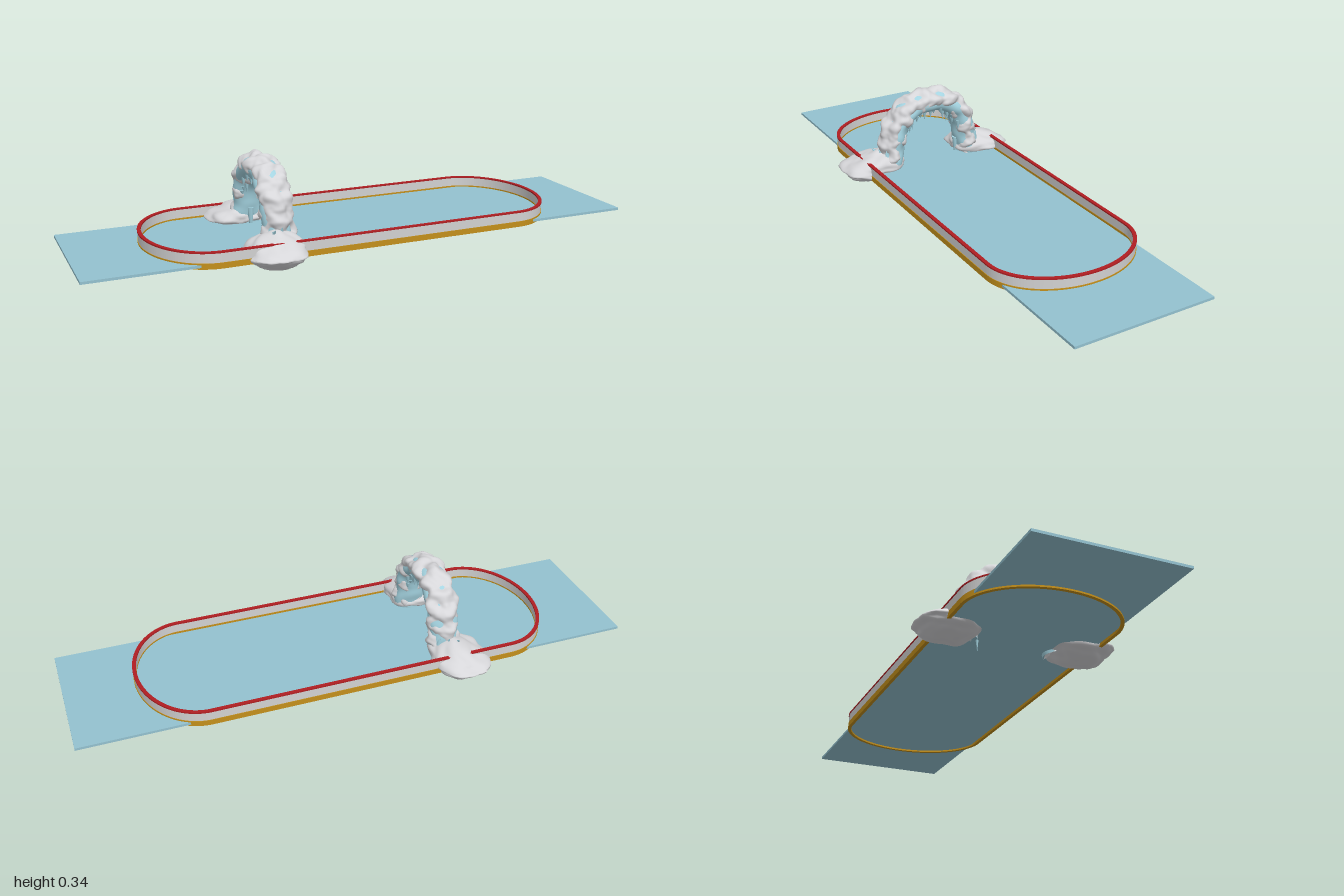
import * as THREE from 'three';
import { mergeVertices } from 'three/addons/utils/BufferGeometryUtils.js';

const mat = (name, color, side = THREE.FrontSide) => {
  const m = new THREE.MeshStandardMaterial({ color, side });
  m.name = name;
  return m;
};

// smooth repeatable lumps, roughly -1..1
const lumps = (x, y, z, f) =>
  (Math.sin(f * x + 1.7 * Math.sin(f * 0.6 * z + 1)) +
   Math.sin(f * 1.1 * y + 1.5 * Math.sin(f * 0.7 * x + 2)) +
   Math.sin(f * 0.9 * z + 1.6 * Math.sin(f * 0.8 * y))) / 3;

// rounded rink outline: straight sides with elliptical ends
function outline(P, inset) {
  const rx = 0.208 - inset, rz = 0.272 - inset;
  const p = new P();
  p.moveTo(-0.55, -rz);
  p.lineTo(0.55, -rz);
  p.absellipse(0.55, 0, rx, rz, -Math.PI / 2, Math.PI / 2, false, 0);
  p.lineTo(-0.55, rz);
  p.absellipse(-0.55, 0, rx, rz, Math.PI / 2, Math.PI * 1.5, false, 0);
  return p;
}

function band(inset, thick, y0, y1) {
  const s = outline(THREE.Shape, inset);
  s.holes.push(outline(THREE.Path, inset + thick));
  const g = new THREE.ExtrudeGeometry(s, { depth: y1 - y0, bevelEnabled: false, curveSegments: 40 });
  g.rotateX(-Math.PI / 2);
  g.translate(0, y0, 0);
  return g;
}

// centre line of the arch
const ARCH_X = -0.33;
const half = [[0.165, 0.04], [0.157, 0.1], [0.149, 0.16], [0.131, 0.212], [0.095, 0.255], [0.05, 0.281]];
const path = new THREE.CatmullRomCurve3([
  ...half.map(([z, y]) => new THREE.Vector3(ARCH_X, y, z)),
  new THREE.Vector3(ARCH_X, 0.288, 0),
  ...half.slice().reverse().map(([z, y]) => new THREE.Vector3(ARCH_X, y, -z)),
]);
const archPoint = (t, a, k) => {
  const c = path.getPointAt(t), d = path.getTangentAt(t);
  const n = new THREE.Vector3(0, -d.z, d.y);
  c.addScaledVector(n, Math.cos(a) * 0.043 * k);
  c.x += Math.sin(a) * 0.057 * k;
  return c;
};

// closed cross-sections swept along the arch, thickness set by a rule
function sweep(rows, cols, thickness) {
  const pos = [], idx = [];
  for (let i = 0; i <= rows; i++) {
    for (let j = 0; j < cols; j++) {
      const t = i / rows, a = (j / cols) * Math.PI * 2;
      const p = archPoint(t, a, 1);
      pos.push(...archPoint(t, a, thickness(p, a)).toArray());
      if (i === rows) continue;
      const A = i * cols + j, B = i * cols + (j + 1) % cols;
      idx.push(A, B, A + cols, B, B + cols, A + cols);
    }
  }
  const g = new THREE.BufferGeometry();
  g.setAttribute('position', new THREE.Float32BufferAttribute(pos, 3));
  g.setIndex(idx);
  g.computeVertexNormals();
  return g;
}

// lens-shaped snow heap, its top leaning towards the arch
function moundGeometry(side) {
  let g = new THREE.SphereGeometry(1, 48, 32);
  g.deleteAttribute('uv');
  g.deleteAttribute('normal');
  g = mergeVertices(g, 1e-4);
  const p = g.attributes.position;
  for (let i = 0; i < p.count; i++) {
    const x = p.getX(i), y = p.getY(i), z = p.getZ(i) * side;
    const n = 1 + 0.1 * lumps(x, y + side, z, 5) + 0.05 * lumps(x, y, z, 11);
    const box = 1 + 0.35 * x * x * z * z;
    const h = Math.sign(y) * Math.pow(Math.abs(y), 1.25);
    p.setXYZ(i,
      -0.363 + x * 0.1 * n * box + Math.max(y, 0) * 0.02,
      0.057 + h * (y > 0 ? 0.06 : 0.047) * n,
      side * (0.236 + z * 0.112 * n * box - Math.max(y, 0) * 0.045));
  }
  // mirrored along z by the side factor above, so winding stays outward
  g.computeVertexNormals();
  return g;
}

export function createModel() {
  const root = new THREE.Group();
  root.name = 'iceRinkWithArch';
  const ice = mat('rink ice', 0x94c2d0);
  const blueIce = mat('arch ice', 0xa4d3e0);
  const snow = mat('snow', 0xd6d6d9);
  const wall = mat('board grey', 0xd2d2d2);
  const red = mat('rail red', 0xb01e22);
  const gold = mat('kick plate gold', 0xc4901c);
  const add = (name, geo, material, parent = root) => {
    const m = new THREE.Mesh(geo, material);
    m.name = name;
    parent.add(m);
    return m;
  };

  // ice sheet and the boards around it
  add('iceSheet', new THREE.BoxGeometry(2, 0.009, 0.512).translate(0, 0.0505, 0), ice);
  add('kickPlate', band(0, 0.012, 0.04, 0.06), gold);
  add('boards', band(0.002, 0.009, 0.06, 0.092), wall);
  add('topRail', band(0, 0.013, 0.092, 0.097), red);

  // arch: blue ice core, with snow breaking through wherever its layer is thick
  const arch = new THREE.Group();
  arch.name = 'arch';
  root.add(arch);
  add('archIce', sweep(90, 32, (p) => 0.95 + 0.09 * lumps(p.x, p.y, p.z, 70)), blueIce, arch);
  add('archSnow', sweep(170, 56, (p, a) =>
    0.95 + 0.17 * Math.cos(a) + 0.26 * lumps(p.x, p.y, p.z, 85) + 0.06 * lumps(p.x, p.y, p.z, 190)), snow, arch);

  // icicles along both lower edges of the arch
  for (let i = 0; i < 30; i++) {
    const t = 0.22 + 0.56 * (i / 29);
    const p = archPoint(t, Math.PI + (i % 2 ? 0.55 : -0.55) * (1 + 0.4 * Math.sin(i * 5)), 0.9);
    const len = 0.03 + 0.014 * Math.sin(i * 2.3);
    const g = new THREE.ConeGeometry(0.009, len, 7).rotateX(Math.PI);
    add('icicle', g.translate(p.x, p.y - len * 0.32, p.z), blueIce, arch);
  }
  add('longIcicle', new THREE.ConeGeometry(0.013, 0.11, 8).rotateX(Math.PI).translate(ARCH_X, 0.058, -0.119), blueIce, arch);

  // snow heaps at the feet, with ice splinters poking out
  for (const side of [1, -1]) {
    add(side > 0 ? 'frontSnowMound' : 'backSnowMound', moundGeometry(side), snow);
    for (let i = 0; i < 3; i++) {
      const s = add('iceSplinter', new THREE.ConeGeometry(0.012, 0.04, 5), blueIce);
      s.position.set(-0.36 + 0.03 * i, 0.116, side * (0.215 - 0.012 * i));
      s.rotation.x = side * (0.8 - 0.3 * i);
    }
  }
  return root;
}
